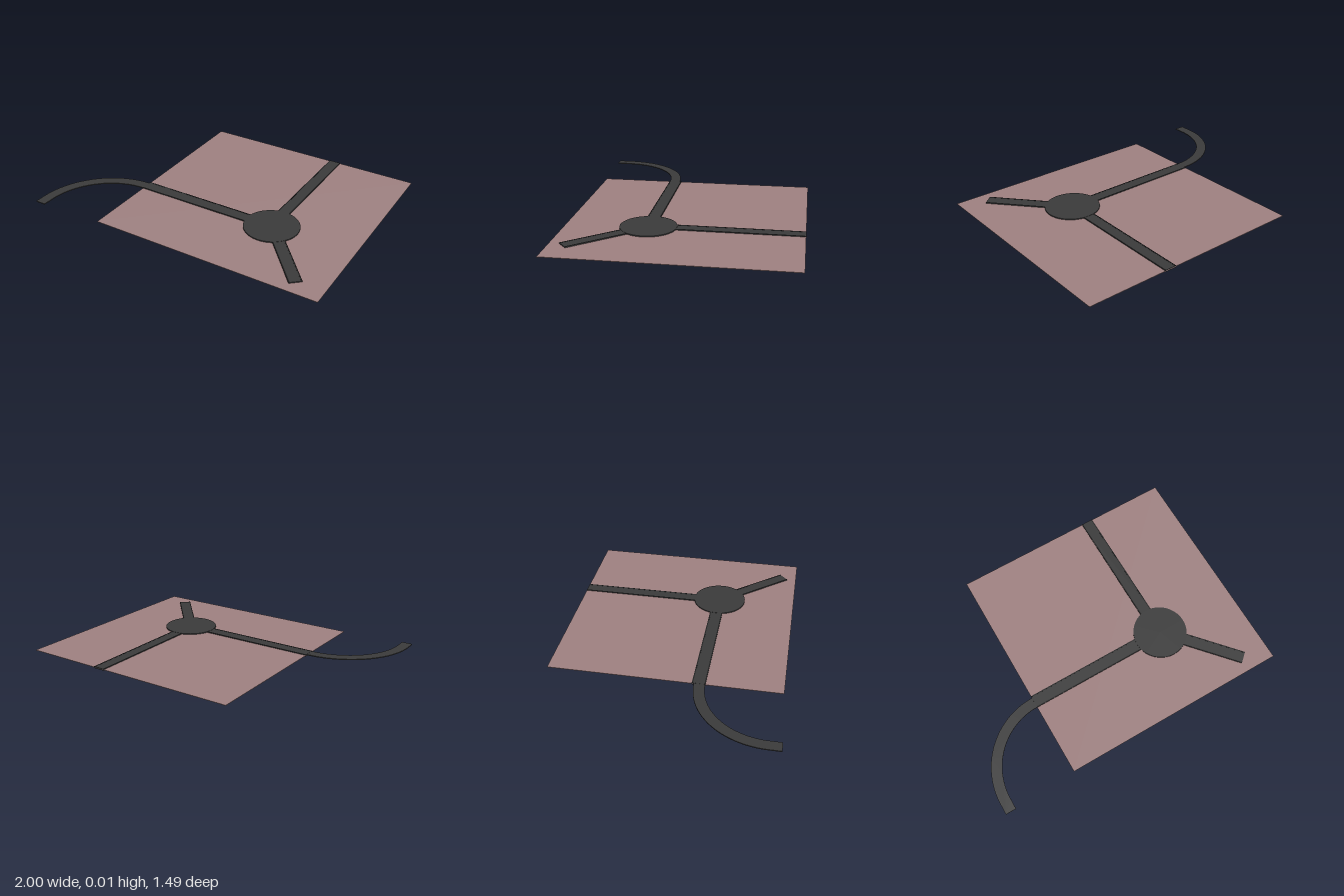
import * as THREE from 'three';

const mat = (name, color) => {
  const m = new THREE.MeshStandardMaterial({ color });
  m.name = name;
  return m;
};

export function createModel() {
  const group = new THREE.Group();
  const ground = mat('dusty pink ground', 0xa08282);
  const asphalt = mat('dark asphalt', 0x3b3b3b);
  const edging = mat('dark road edge', 0x242424);

  const add = (name, geometry, material, parent = group) => {
    const mesh = new THREE.Mesh(geometry, material);
    mesh.name = name;
    parent.add(mesh);
    return mesh;
  };

  // Ground plate, dipping gently towards the front left corner
  const plate = new THREE.BoxGeometry(1.51, 0.003, 1.47);
  plate.translate(0.245, 0, -0.015);
  const p = plate.attributes.position;
  for (let i = 0; i < p.count; i++) {
    const dip = 0.002 * (p.getX(i) + 0.51) / 1.51 + 0.002 * (p.getZ(i) + 0.75) / 1.47;
    p.setY(i, p.getY(i) + 0.0075 - dip);
  }
  plate.computeVertexNormals();
  add('groundPlate', plate, ground);

  // Straight road with a dark edge strip along both sides
  const road = (name, x1, z1, x2, z2, width) => {
    const arm = new THREE.Group();
    const length = Math.hypot(x2 - x1, z2 - z1);
    arm.name = name;
    arm.position.set((x1 + x2) / 2, 0.006, (z1 + z2) / 2);
    arm.rotation.y = -Math.atan2(z2 - z1, x2 - x1);
    add('roadSurface', new THREE.BoxGeometry(length, 0.011, width), asphalt, arm);
    for (const side of [-1, 1]) {
      const strip = add('roadEdge', new THREE.BoxGeometry(length, 0.002, 0.007), edging, arm);
      strip.position.set(0, 0.0055, side * (width / 2 - 0.0035));
    }
    group.add(arm);
  };
  road('backRoad', 0.437, -0.75, 0.437, 0.07, 0.08);
  road('sideRoad', -0.51, 0.204, 0.32, 0.204, 0.084);
  road('diagonalRoad', 0.53, 0.298, 0.822, 0.63, 0.08);

  // Round junction
  const disc = add('junction', new THREE.CylinderGeometry(0.177, 0.177, 0.013, 40), asphalt);
  disc.position.set(0.443, 0.0065, 0.205);

  // Curved road sweeping off the plate
  const cx = -0.51, cz = 0.665, outer = 0.49, inner = 0.42;
  const bend = new THREE.Shape();
  bend.moveTo(cx, cz - outer);
  bend.absarc(cx, cz, outer, -Math.PI / 2, -Math.PI, true);
  bend.lineTo(cx - outer, 0.74);
  bend.lineTo(cx - inner, 0.74);
  bend.lineTo(cx - inner, cz);
  bend.absarc(cx, cz, inner, -Math.PI, -Math.PI / 2, false);
  bend.closePath();
  const curve = new THREE.ExtrudeGeometry(bend, { depth: 0.006, bevelEnabled: false, curveSegments: 20 });
  curve.rotateX(Math.PI / 2);
  add('curvedRoad', curve, asphalt).position.y = 0.011;

  return group;
}
